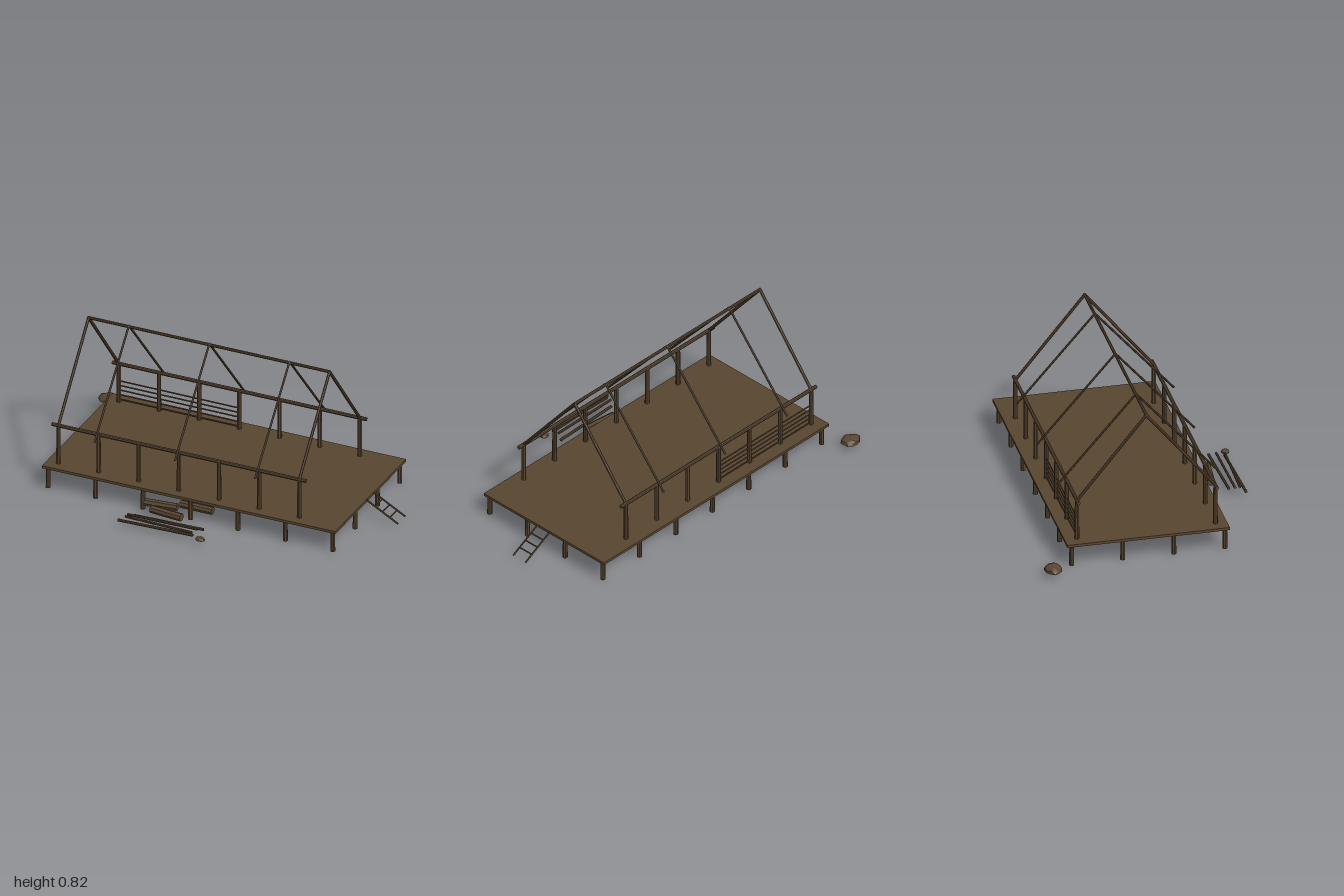
import * as THREE from 'three';

const timber = new THREE.MeshStandardMaterial({ color: 0x584530 });
const UP = new THREE.Vector3(0, 1, 0);

// Faceted normals for the rough-hewn look
function facet(geometry) {
  const g = geometry.index ? geometry.toNonIndexed() : geometry;
  g.computeVertexNormals();
  return g;
}

function add(parent, name, geometry) {
  const mesh = new THREE.Mesh(geometry, timber);
  mesh.name = name;
  parent.add(mesh);
  return mesh;
}

// Round pole between two points
function pole(parent, name, a, b, r, r2 = r, sides = 8) {
  const from = new THREE.Vector3(...a), to = new THREE.Vector3(...b);
  const dir = to.clone().sub(from);
  const mesh = add(parent, name, facet(new THREE.CylinderGeometry(r2, r, dir.length(), sides)));
  mesh.position.copy(from).add(to).multiplyScalar(0.5);
  mesh.quaternion.setFromUnitVectors(UP, dir.normalize());
  return mesh;
}

// Upright post with a chamfered head
function post(parent, name, x, z, y0, y1, r) {
  const h = y1 - y0;
  const profile = [[0, 0], [r, 0], [r * 0.94, h - 0.008], [r * 0.65, h], [0, h]]
    .map(([px, py]) => new THREE.Vector2(px, py));
  add(parent, name, facet(new THREE.LatheGeometry(profile, 8))).position.set(x, y0, z);
}

// Irregular stone, cut flat underneath
function stone(parent, name, x, y, z, sx, sy, sz) {
  const g = new THREE.IcosahedronGeometry(1, 1);
  const p = g.attributes.position, v = new THREE.Vector3();
  for (let i = 0; i < p.count; i++) {
    v.fromBufferAttribute(p, i);
    v.multiplyScalar(0.95 + 0.07 * Math.sin(v.x * 5 + v.y * 3 + v.z * 7));
    p.setXYZ(i, v.x * sx, Math.max(v.y, 0) * sy, v.z * sz);
  }
  add(parent, name, facet(g)).position.set(x, y, z);
}

function group(parent, name) {
  const g = new THREE.Group();
  g.name = name;
  parent.add(g);
  return g;
}

export function createModel() {
  const model = new THREE.Group();
  model.name = 'houseFrame';
  const frontZ = 0.325, backZ = -0.418, ridgeZ = -0.046, ridgeY = 0.813;

  // Deck on a grid of stilts
  add(model, 'deck', new THREE.BoxGeometry(1.69, 0.015, 0.872)).position.set(-0.029, 0.1235, -0.049);
  const stilts = group(model, 'stilts');
  for (let i = 0; i < 7; i++)
    for (let j = 0; j < 4; j++)
      post(stilts, 'stilt', -0.848 + i * 0.2735, 0.366 - j * 0.274, 0, 0.118, 0.0135);

  // Wall posts and the plates they carry
  const walls = group(model, 'walls');
  for (const z of [frontZ, backZ]) {
    for (let i = 0; i < 7; i++)
      post(walls, 'wallPost', -0.808 + i * 0.2315, z, 0.13, 0.358, 0.0125);
    pole(walls, 'wallPlate', [-0.845, 0.355, z], [0.62, 0.355, z], 0.0105);
  }

  // Thin wall rails along part of the back
  for (let i = 0; i < 5; i++) {
    const y = 0.146 + i * 0.027;
    pole(walls, 'wallRail', [-0.808, y, backZ], [-0.113, y - 0.002, backZ], 0.004, 0.004, 6);
  }

  // Roof: ridge, heavier end rafters, longer thin rafters between
  const roof = group(model, 'roof');
  pole(roof, 'ridgePole', [-0.813, ridgeY, ridgeZ], [0.586, ridgeY, ridgeZ], 0.0085);
  for (const x of [-0.808, 0.581])
    for (const z of [frontZ, backZ])
      pole(roof, 'endRafter', [x, 0.355, z], [x, ridgeY, ridgeZ], 0.0085);
  for (const x of [-0.576, -0.112, 0.35])
    for (const z of [0.378, -0.47])
      pole(roof, 'rafter', [x, 0.332, z], [x, ridgeY + 0.006, ridgeZ], 0.006);

  // Ladder down from the deck end
  const ladder = group(model, 'ladder');
  for (const z of [-0.002, -0.091])
    pole(ladder, 'ladderRail', [0.815, 0.127, z], [0.997, 0.026, z], 0.005, 0.005, 6);
  for (const [x, y] of [[0.864, 0.101], [0.907, 0.077], [0.949, 0.053]])
    pole(ladder, 'rung', [x, y, 0], [x, y, -0.093], 0.004, 0.004, 6);

  // Short logs lying beside and under the deck
  const logs = group(model, 'logs');
  pole(logs, 'log', [-0.217, 0.055, 0.443], [-0.034, 0.055, 0.463], 0.022);
  pole(logs, 'log', [-0.28, 0.055, 0.39], [-0.1, 0.055, 0.372], 0.022);
  pole(logs, 'log', [-0.1, 0.055, 0.328], [0.083, 0.055, 0.328], 0.022);

  // Loose poles on the ground
  const poles = group(model, 'loosePoles');
  pole(poles, 'loosePole', [-0.28, 0.04, 0.522], [0.115, 0.04, 0.508], 0.008);
  pole(poles, 'loosePole', [-0.305, 0.055, 0.55], [0.095, 0.055, 0.544], 0.007);
  pole(poles, 'loosePole', [-0.305, 0.055, 0.576], [0.085, 0.055, 0.588], 0.007);
  pole(poles, 'loosePole', [-0.335, 0.04, 0.602], [0.09, 0.04, 0.588], 0.008);

  // Stones
  stone(model, 'largeStone', -0.941, 0.032, -0.579, 0.06, 0.034, 0.05);
  stone(model, 'smallStone', 0.139, 0.032, 0.602, 0.028, 0.018, 0.023);
  return model;
}
